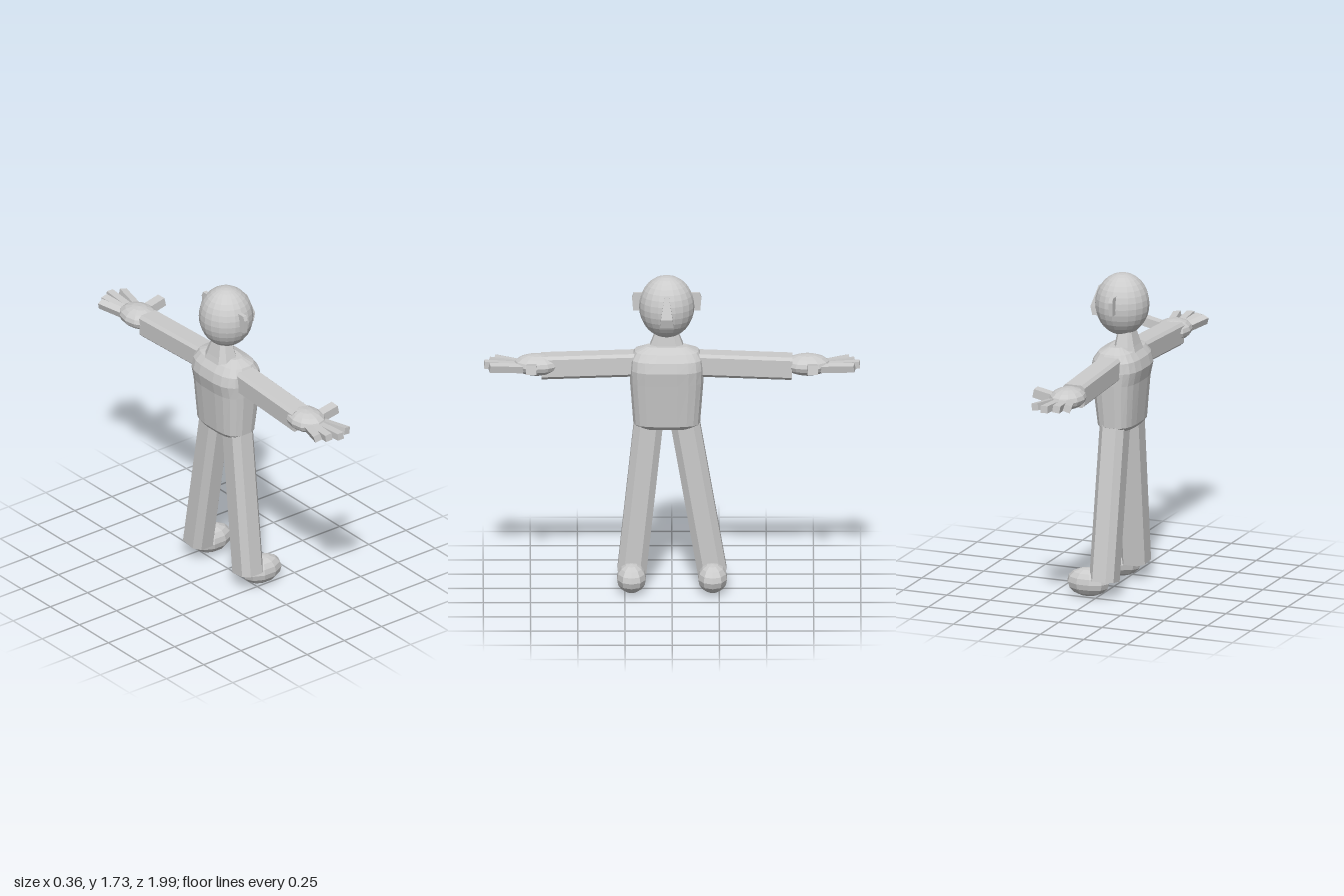
import * as THREE from 'three';

const material = new THREE.MeshStandardMaterial({ color: 0xcccccc, flatShading: true });

// Unit cross-sections, as [z, x] pairs running counter-clockwise seen from above
const superellipse = (sides, power) => Array.from({ length: sides }, (_, i) => {
  const a = ((i + 0.5) / sides) * Math.PI * 2;
  const f = (v) => Math.sign(v) * Math.abs(v) ** (2 / power);
  return [f(Math.cos(a)), f(Math.sin(a))];
});
const chamfered = (c) => [[1, -c], [1, c], [c, 1], [-c, 1], [-1, c], [-1, -c], [-c, -1], [c, -1]];
const square = [[1, -1], [1, 1], [-1, 1], [-1, -1]];

// Capped skin over sections [y, centreX, halfX, halfZ]
function loft(sections, outline) {
  const n = outline.length, pos = [], idx = [];
  for (const [y, cx, hx, hz] of sections)
    for (const [z, x] of outline) pos.push(cx + x * hx, y, z * hz);
  const last = sections.length - 1;
  for (let i = 0; i < last; i++)
    for (let j = 0; j < n; j++) {
      const k = (j + 1) % n, a = i * n + j, b = i * n + k;
      idx.push(a, b, b + n, a, b + n, a + n);
    }
  for (let j = 1; j < n - 1; j++) {
    idx.push(0, j + 1, j);
    idx.push(last * n, last * n + j, last * n + j + 1);
  }
  const g = new THREE.BufferGeometry();
  g.setAttribute('position', new THREE.Float32BufferAttribute(pos, 3));
  g.setIndex(idx);
  g.computeVertexNormals();
  return g;
}

function add(parent, name, geometry, x = 0, y = 0, z = 0) {
  const mesh = new THREE.Mesh(geometry, material);
  mesh.name = name;
  mesh.position.set(x, y, z);
  parent.add(mesh);
  return mesh;
}

// Straight prism running from one point to another
function limb(parent, name, from, to, hx, hz, outline) {
  const a = new THREE.Vector3(...from), dir = new THREE.Vector3(...to).sub(a);
  const geometry = loft([[0, 0, hx, hz], [dir.length(), 0, hx, hz]], outline);
  const mesh = add(parent, name, geometry, ...from);
  mesh.quaternion.setFromUnitVectors(new THREE.Vector3(0, 1, 0), dir.normalize());
  return mesh;
}

function ellipsoid(parent, name, segments, rings, radii, position) {
  const g = new THREE.SphereGeometry(1, segments, rings);
  g.scale(...radii);
  return add(parent, name, g, ...position);
}

export function createModel() {
  const model = new THREE.Group();
  model.name = 'figure';
  const midZ = 0.028;

  // Torso with rounded shoulders and a narrower waist
  add(model, 'torso', loft([
    [0.893, -0.04, 0.085, 0.15],
    [0.915, -0.037, 0.103, 0.178],
    [1.15, -0.032, 0.127, 0.196],
    [1.22, -0.035, 0.14, 0.198],
    [1.275, -0.035, 0.127, 0.193],
    [1.315, -0.033, 0.097, 0.17],
    [1.34, -0.033, 0.045, 0.11],
  ], superellipse(20, 3)), 0, 0, midZ);

  // Neck and head
  add(model, 'neck', loft([
    [1.29, -0.07, 0.07, 0.1],
    [1.34, -0.068, 0.055, 0.085],
    [1.46, -0.06, 0.03, 0.04],
  ], chamfered(0.6)), 0, 0, midZ);
  ellipsoid(model, 'head', 20, 16, [0.144, 0.168, 0.147], [-0.036, 1.557, midZ]);

  // Nose, widening towards the nostrils
  add(model, 'nose', loft([
    [1.485, 0.085, 0.037, 0.036],
    [1.53, 0.095, 0.04, 0.031],
    [1.645, 0.075, 0.02, 0.012],
  ], square), 0, 0, midZ);

  for (const s of [-1, 1]) {
    const side = s > 0 ? 'right' : 'left';

    // Ear
    add(model, side + 'Ear', loft([
      [-0.048, 0, 0.011, 0.03],
      [0.025, 0, 0.011, 0.036],
      [0.05, 0, 0.011, 0.026],
    ], square), -0.045, 1.58, midZ + s * 0.148);

    // Leg and foot
    limb(model, side + 'Leg', [-0.035, 0.09, s * 0.213], [-0.035, 0.93, midZ + s * 0.095],
      0.07, 0.077, chamfered(0.55));
    const foot = ellipsoid(model, side + 'Foot', 10, 8, [0.12, 0.077, 0.08], [0.057, 0.077, s * 0.215]);
    foot.geometry.computeVertexNormals();

    // Arm
    limb(model, side + 'Arm', [-0.036, 1.244, midZ + s * 0.1],
      [s > 0 ? -0.048 : -0.038, 1.222, midZ + s * 0.664], 0.062, 0.062, chamfered(0.75));

    // Hand: palm, thumb and four spread fingers
    const hand = new THREE.Group();
    hand.name = side + 'Hand';
    model.add(hand);
    ellipsoid(hand, 'palm', 12, 8, [0.096, 0.057, 0.124], [-0.038, 1.233, s * 0.717]);
    limb(hand, 'thumb', [0.02, 1.23, s * 0.743], [0.138, 1.254, s * 0.746], 0.024, 0.027, square);
    [[-0.08, -0.128, 0.935], [-0.055, -0.078, 0.967], [-0.025, -0.02, 0.995], [0.012, 0.045, 0.967]]
      .forEach(([root, tip, reach], i) => limb(hand, 'finger' + (i + 1),
        [root, 1.226, s * 0.79], [tip, 1.24, s * reach], 0.02, 0.019, square));
  }
  return model;
}
